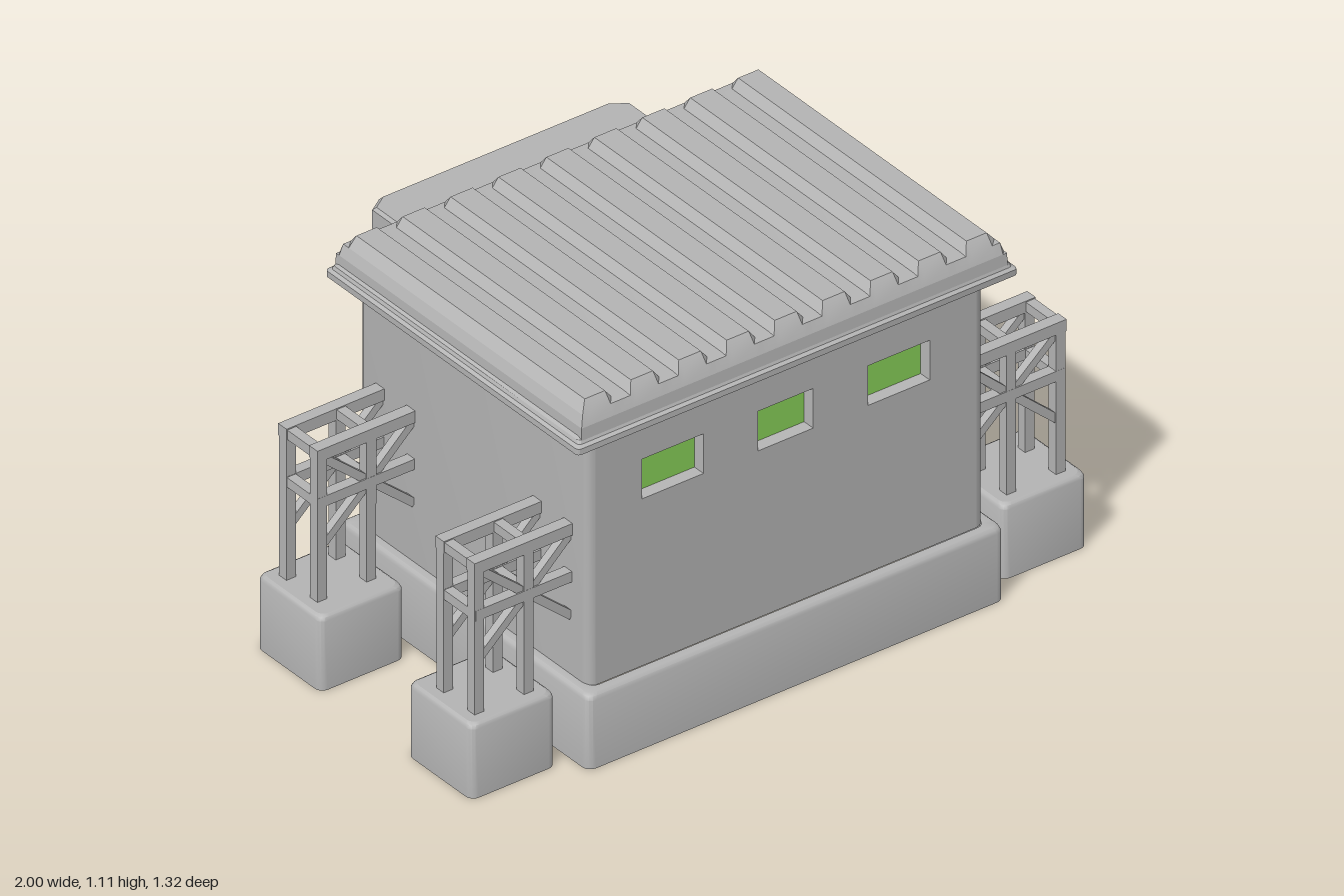
import * as THREE from 'three';
import { toCreasedNormals } from 'three/addons/utils/BufferGeometryUtils.js';

const concrete = new THREE.MeshStandardMaterial({ color: 0xb4b4b4, side: THREE.DoubleSide });
concrete.name = 'concrete grey';
const glass = new THREE.MeshStandardMaterial({ color: 0x88d058 });
glass.name = 'window green';

const V = (x, y, z) => new THREE.Vector3(x, y, z);

function addMesh(parent, name, geometry, material = concrete) {
  const mesh = new THREE.Mesh(geometry, material);
  mesh.name = name;
  parent.add(mesh);
  return mesh;
}

// Skin stretched over a row of cross-sections with equal point counts
function loft(rings, closed = true, cap = false, crease = 0.6) {
  const pos = [];
  const tri = (...pts) => pts.forEach((p) => pos.push(p.x, p.y, p.z));
  for (let i = 0; i < rings.length - 1; i++) {
    const a = rings[i], b = rings[i + 1], n = a.length;
    for (let j = 0; j < (closed ? n : n - 1); j++) {
      const k = (j + 1) % n;
      tri(a[j], b[j], b[k]);
      tri(a[j], b[k], a[k]);
    }
  }
  if (cap) {
    const last = rings[rings.length - 1];
    for (let j = 1; j < last.length - 1; j++) tri(last[0], last[j], last[j + 1]);
  }
  const g = new THREE.BufferGeometry();
  g.setAttribute('position', new THREE.Float32BufferAttribute(pos, 3));
  return toCreasedNormals(g, crease);
}

// Rounded rectangle in plan, starting at the front left corner
function planRing(hw, hd, r, y, cx = 0, cz = 0) {
  const pts = [];
  for (let c = 0; c < 4; c++) {
    const sx = c === 0 || c === 3 ? 1 : -1, sz = c < 2 ? 1 : -1;
    for (let s = 0; s <= 4; s++) {
      const a = (c + s / 4) * Math.PI / 2;
      pts.push(V(cx + sx * (hw - r) + r * Math.cos(a), y, cz + sz * (hd - r) + r * Math.sin(a)));
    }
  }
  return pts;
}

// Square bar between two points
function bar(parent, name, a, b, t) {
  const m = addMesh(parent, name, new THREE.BoxGeometry(t, t, a.distanceTo(b)));
  m.position.copy(a).add(b).multiplyScalar(0.5);
  m.lookAt(b);
}

function rectPath(target, x, y, hw, hh) {
  target.moveTo(x - hw, y - hh);
  target.lineTo(x + hw, y - hh);
  target.lineTo(x + hw, y + hh);
  target.lineTo(x - hw, y + hh);
  target.closePath();
  return target;
}

function buildWalls(root) {
  // Side and back walls, open at the front
  const zc = 0.121, hw = 0.643, hd = 0.489, r = 0.025;
  const wallRing = (y) => {
    const p = planRing(hw, hd, r, y, 0, zc);
    return [...p.slice(5), ...p.slice(0, 5)];
  };
  addMesh(root, 'sideAndBackWalls', loft([wallRing(0.22), wallRing(1.0)], false));

  // Front wall with three splayed window recesses
  const y = 0.795, hh = 0.061;
  const front = rectPath(new THREE.Shape(), 0, 0.61, hw - r, 0.39);
  for (const [x, w] of [[-0.368, 0.1], [-0.002, 0.09], [0.366, 0.1]]) {
    front.holes.push(rectPath(new THREE.Path(), x, y, w, hh));
    const rect = (inset, z) => [[-1, -1], [1, -1], [1, 1], [-1, 1]]
      .map(([sx, sy]) => V(x + sx * (w - inset), y + sy * (hh - inset), z));
    addMesh(root, 'windowRecess', loft([rect(0, 0.61), rect(0.007, 0.58)]));
    addMesh(root, 'windowPane', new THREE.PlaneGeometry(2 * w - 0.014, 2 * hh - 0.014), glass)
      .position.set(x, y, 0.58);
  }
  addMesh(root, 'frontWall', new THREE.ShapeGeometry(front)).position.z = 0.61;
}

function buildRoof(root) {
  // Stepped eave
  const eave = [[0.64, 0.985], [0.714, 0.988], [0.714, 1.006], [0.704, 1.012], [0.7, 1.022], [0.688, 1.03]]
    .map(([hw, y]) => planRing(hw, hw - 0.174, 0.012, y, 0, 0.121));
  addMesh(root, 'eave', loft(eave, true, true, 0.3));
  addMesh(root, 'ceiling', new THREE.BoxGeometry(1.29, 0.012, 0.99)).position.set(0, 0.991, 0.121);

  // Ribbed sheet: nine flat ribs parted by eight grooves
  const profile = [[-0.692, 1.02], [-0.69, 1.055], [-0.677, 1.085], [-0.652, 1.113]];
  for (let i = 0; i < 8; i++) {
    const x = (i - 3.5) * 0.1555;
    profile.push([x - 0.042, 1.113], [x - 0.022, 1.087], [x + 0.022, 1.087], [x + 0.042, 1.113]);
  }
  profile.push([0.652, 1.113], [0.677, 1.085], [0.69, 1.055], [0.692, 1.02]);
  const stations = [[0.648, 1.02], [0.645, 1.055], [0.632, 1.085], [0.608, 1.113]];
  const all = [...stations, ...stations.map(([z, y]) => [0.242 - z, y]).reverse()];
  const rings = all.map(([z, top]) => profile.map(([x, y]) => V(x, Math.min(y, top), z)));
  addMesh(root, 'ribbedRoof', loft(rings, false, false, 0.3));
}

function buildCanopy(root) {
  // Hollow canopy with clipped outer corners
  const outline = (inset, y) => [[-0.4, -0.365], [-0.4, -0.63], [-0.355, -0.66],
    [0.39, -0.66], [0.435, -0.63], [0.435, -0.365]]
    .map(([x, z]) => V(x + (x < 0 ? inset : -inset), y, z < -0.4 ? z + inset : z));
  addMesh(root, 'canopy', loft([outline(0.014, 0.945), outline(0.014, 0.9), outline(0, 0.9),
    outline(0, 0.957), outline(0.008, 0.966)], false, true, 0.3));
  addMesh(root, 'canopyUnderside', loft([outline(0.013, 0.946), outline(0.014, 0.945)], false, true));
}

function buildPedestal(root, x, z) {
  const ring = (d, y) => planRing(0.1375 - d, 0.1375 - d, 0.024, y, x, z);
  addMesh(root, 'pedestal', loft([ring(0, 0), ring(0, 0.212), ring(0.004, 0.221), ring(0.012, 0.226)], true, true));
}

function buildTower(root, side, z) {
  const tower = new THREE.Group();
  tower.name = 'supportTower';
  root.add(tower);
  const outer = 0.943, inner = 0.783, wall = 0.632, top = 0.675, mid = 0.528;
  const P = (x, y, dz) => V(side * x, y, z + dz);
  for (const dz of [-0.066, 0.066]) {
    for (const x of [outer, inner]) bar(tower, 'post', P(x, 0.2, dz), P(x, 0.685, dz), 0.031);
    bar(tower, 'topRail', P(0.96, top, dz), P(wall, top, dz), 0.036);
    bar(tower, 'middleRail', P(0.955, mid, dz), P(wall, mid, dz), 0.032);
    for (const [x, y] of [[outer, 0.665], [outer, 0.385], [0.64, 0.66], [0.64, 0.405]]) {
      bar(tower, 'diagonalBrace', P(inner, mid, dz), P(x, y, dz), 0.024);
    }
  }
  for (const x of [outer, inner]) {
    for (const y of [top, mid]) bar(tower, 'crossPiece', P(x, y, -0.066), P(x, y, 0.066), 0.029);
  }
}

export function createModel() {
  const root = new THREE.Group();
  root.name = 'utilityBuilding';

  // Hollow plinth, open underneath
  const plinth = [[0.676, 0], [0.676, 0.21], [0.672, 0.22], [0.664, 0.226], [0.64, 0.226]]
    .map(([hw, y]) => planRing(hw, hw - 0.143, 0.026, y, 0, 0.122));
  addMesh(root, 'plinth', loft(plinth));

  buildWalls(root);
  buildRoof(root);
  buildCanopy(root);

  for (const side of [-1, 1]) {
    buildPedestal(root, side * 0.8625, 0.445);
    buildPedestal(root, side * 0.8625, -0.199);
    buildTower(root, side, 0.46);
    buildTower(root, side, -0.211);
  }
  return root;
}
